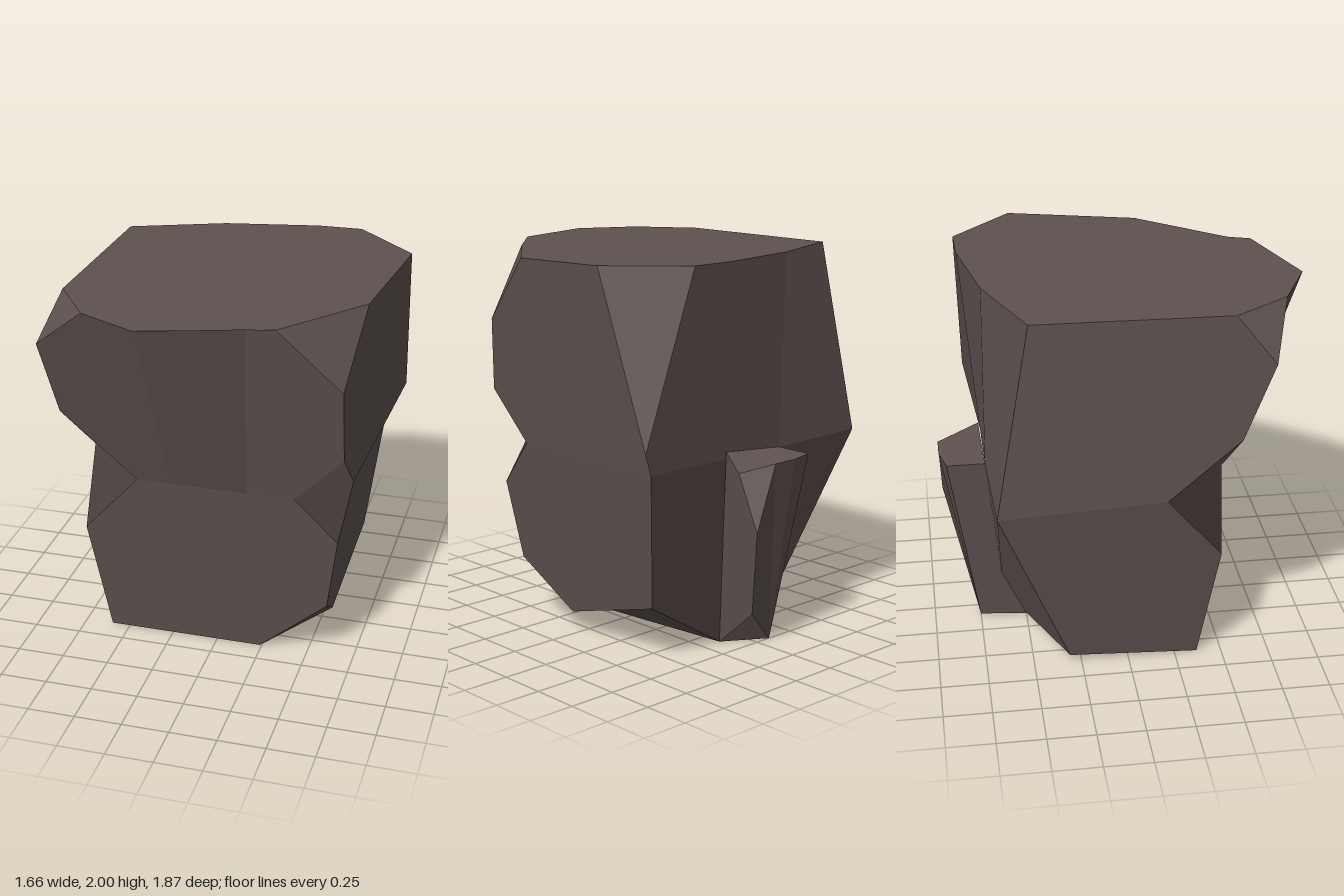
import * as THREE from 'three';

// Builds a faceted block: every face is a list of named corners, filled as a fan
// from its first corner and shaded with one normal.
function block(name, corners, faces, material) {
  const positions = [];
  const normals = [];
  for (const face of faces) {
    const loop = face.split(' ').map((key) => new THREE.Vector3(...corners[key]));
    const normal = new THREE.Vector3();
    loop.forEach((p, i) => normal.add(p.clone().cross(loop[(i + 1) % loop.length])));
    normal.normalize();
    for (let i = 1; i < loop.length - 1; i++) {
      for (const p of [loop[0], loop[i], loop[i + 1]]) {
        positions.push(...p.toArray());
        normals.push(...normal.toArray());
      }
    }
  }
  const geometry = new THREE.BufferGeometry();
  geometry.setAttribute('position', new THREE.Float32BufferAttribute(positions, 3));
  geometry.setAttribute('normal', new THREE.Float32BufferAttribute(normals, 3));
  const mesh = new THREE.Mesh(geometry, material);
  mesh.name = name;
  return mesh;
}

export function createModel() {
  const group = new THREE.Group();
  group.name = 'rock';
  const stone = new THREE.MeshStandardMaterial({ color: 0x5e5250 });
  stone.name = 'brown stone';

  // Waist ring, shared by the upper and lower blocks (w1 to w9, front left round to the left side)
  const waist = {
    w1: [-0.38, 1, 0.52], w2: [-0.2, 1, 0.52], w3: [0.2, 1, 0.52], w4: [0.45, 1, 0.52],
    w5: [0.7, 1, 0.25], w6: [0.7, 1, -0.7], w7: [0.2, 1, -0.7], w8: [-0.2, 1, -0.7],
    w9: [-0.8, 1, -0.68], w10: [-0.73, 1, 0.18],
  };

  // Upper block flares out to the flat top (t), with cut corners (c)
  const upper = {
    ...waist,
    c1: [-0.78, 1.35, 0.54], c2: [-0.83, 1.77, 0.68], c3: [0.7, 1.25, 0.52],
    c4: [0.69, 1.62, 0.54], c5: [0.79, 1.13, -0.76],
    t1: [-0.75, 2, 0.49], t2: [-0.55, 2, 0.78], t3: [-0.24, 2, 0.93], t4: [0.26, 2, 0.77],
    t5: [0.38, 1.97, 0.67], t6: [0.74, 1.97, 0.22], t7: [0.83, 2, -0.47], t8: [0.5, 2, -0.79],
    t9: [0.26, 2, -0.785], t10: [-0.24, 2, -0.69], t11: [-0.73, 2, -0.5],
  };
  group.add(block('upperRock', upper, [
    't3 t4 t5 t6 t7 t8 t9 t10 t11 t1 t2',  // top
    'w1 w2 t3 t2 c2 c1',                   // front, three panels
    'w2 w3 t4 t3',
    'w3 w4 c3 c4 t5 t4',
    'c2 t2 t1',                            // cut corners
    'c4 t6 t5',
    'c5 t8 t7',
    'w5 w6 c5 t7 t6 c4 c3',                // sides
    'w10 c1 c2 t1 t11 w9',
    'w7 t9 t8 c5 w6',                      // back, three panels
    'w7 w8 t10 t9',
    'w8 w9 t11 t10',
  ], stone));

  // Lower block tapers to the base (b)
  const lower = {
    ...waist,
    c1: [-0.69, 0.65, 0.47], c2: [0.67, 0.75, 0.47], c3: [0.61, 0.33, 0.41],
    c4: [0.57, 0.1, 0.05], c5: [0.61, 0.29, -0.61],
    b1: [-0.6, 0, 0.37], b2: [0.24, 0, 0.37], b3: [0.135, 0, -0.61], b4: [-0.61, 0.04, -0.31],
  };
  group.add(block('lowerRock', lower, [
    'b1 b2 c3 c2 w4 w3 w2 w1 c1',          // front
    'w5 c2 c3 c4 c5 w6',                   // sides
    'w10 w9 b4 b1 c1',
    'b3 b4 w9 w8 w7 w6 c5',                // back
    'b2 c4 c3',                            // cut corners
    'b2 b3 c5 c4',
    'b1 b4 b3 b2',                         // base
  ], stone));

  // Notches in the two front edges span both blocks
  const notches = {
    ...waist,
    leftTop: upper.c1, leftLow: lower.c1, rightTop: upper.c3, rightLow: lower.c2,
  };
  group.add(block('frontNotches', notches, [
    'w1 leftTop w10 leftLow',
    'w4 rightLow w5 rightTop',
  ], stone));

  // Narrow splinter leaning on the back
  const splinter = {
    f1: [0.2, 1.04, -0.71], f2: [-0.2, 1, -0.7], f3: [-0.2, 1, -0.9], f4: [-0.06, 1, -0.935],
    f5: [0.08, 1, -0.935], f6: [0.2, 0.945, -0.8], f7: [0.19, 0.66, -0.92],
    f8: [0.04, 0.16, -0.75], f9: [-0.09, 0, -0.75], f10: [0.135, 0, -0.61], f11: [-0.12, 0, -0.5],
  };
  group.add(block('backSplinter', splinter, [
    'f1 f6 f5 f4 f3 f2',                   // top
    'f6 f7 f5',
    'f1 f10 f8 f7 f6',                     // sides
    'f2 f3 f9 f11',
    'f7 f8 f9 f5',                         // back
    'f5 f9 f4',
    'f4 f9 f3',
    'f10 f9 f8',                           // foot
    'f10 f11 f9',
  ], stone));

  return group;
}
